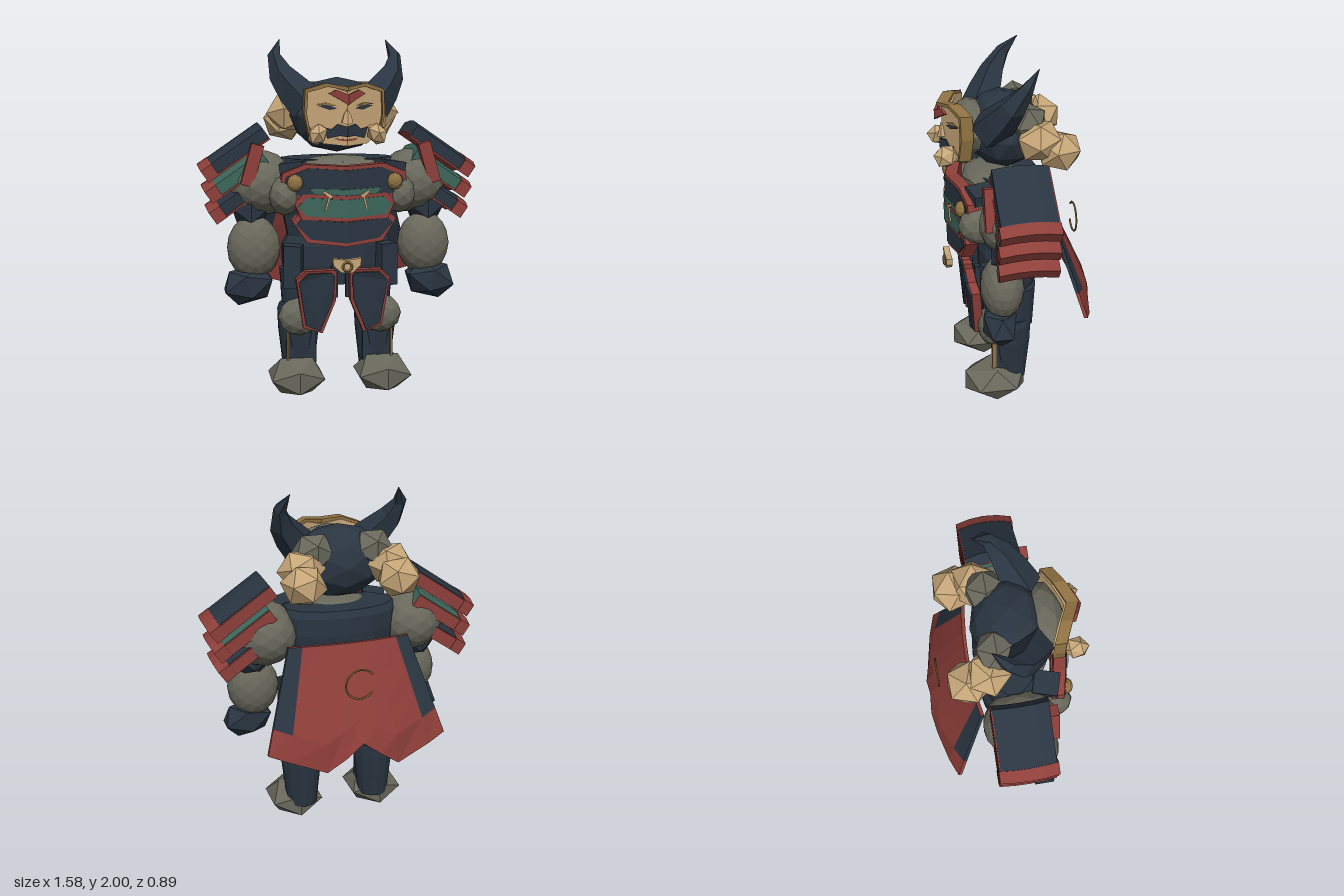
import * as THREE from 'three';

const mat = (name, color) => {
  const m = new THREE.MeshStandardMaterial({ color });
  m.name = name;
  return m;
};

export function createModel() {
  const root = new THREE.Group();
  const navy = mat('navy', 0x2a3541), red = mat('red', 0x8e3f3a), moss = mat('moss', 0x68685c);
  const teal = mat('teal', 0x3c665b), tan = mat('tan', 0xc6a678), gold = mat('gold', 0x8f7142);
  const capeRed = mat('capeRed', 0x8c3d38), capeNavy = mat('capeNavy', 0x2a3541);
  capeRed.side = capeNavy.side = THREE.DoubleSide;

  // Facet a geometry and add it as a named part
  const add = (name, geo, material, pos = [0, 0, 0], rot = [0, 0, 0], parent = root) => {
    const g = geo.index ? geo.toNonIndexed() : geo;
    g.computeVertexNormals();
    const m = new THREE.Mesh(g, material);
    m.name = name;
    m.position.set(...pos);
    m.rotation.set(...rot);
    parent.add(m);
    return m;
  };
  // Faceted ball with given half sizes
  const ball = (name, pos, r, material, detail = 1, rot) => {
    const k = detail ? 1 : 1 / 0.85;
    return add(name, new THREE.IcosahedronGeometry(1, detail).scale(r[0] * k, r[1] * k, r[2] * k), material, pos, rot);
  };
  const box = (name, size, material, pos, rot) => add(name, new THREE.BoxGeometry(...size), material, pos, rot);
  // Plate outlined on one side of the body, its depth following z = zAt(|x|, y)
  const plate = (name, pts, material, s, depth, zAt) => {
    const g = new THREE.ExtrudeGeometry(
      new THREE.Shape(pts.map(([x, y]) => new THREE.Vector2(x * s, y))), { depth, bevelEnabled: false });
    const p = g.attributes.position;
    for (let i = 0; i < p.count; i++) p.setZ(i, p.getZ(i) + zAt(Math.abs(p.getX(i)), p.getY(i)) - depth);
    return add(name, g, material);
  };
  // Grow an outline about its centre; points on the centre line stay there
  const grow = (pts, d) => {
    const cx = pts.reduce((a, p) => a + p[0], 0) / pts.length, cy = pts.reduce((a, p) => a + p[1], 0) / pts.length;
    return pts.map(([x, y]) => [x === 0 ? 0 : x + d * Math.sign(x - cx), y + d * Math.sign(y - cy)]);
  };
  const lathe = (pts, sides) => new THREE.LatheGeometry(pts.map(p => new THREE.Vector2(...p)), sides);

  // Torso with flared hem and collar
  const profile = [[0, .63], [.3, .63], [.32, .74], [.32, .85], [.29, .9], [.32, 1.05], [.35, 1.2], [.35, 1.3], [.32, 1.34], [0, 1.34]];
  add('torso', lathe(profile, 14).scale(1, 1, .52), navy, [0, 0, .02]);
  ball('neck', [0, 1.3, .1], [.24, .06, .17], moss);

  // Head and face core
  ball('helmet', [0, 1.58, .04], [.27, .21, .21], navy);
  ball('faceCore', [0, 1.6, .22], [.2, .15, .11], moss);

  const faceZ = x => .375 - .46 * x;
  const chestZ = x => .37 - .22 * x;
  const tassetZ = (x, y) => .3 - .2 * Math.abs(x - .15) - .1 * (.73 - y);
  const face = [[0, 1.72], [.1, 1.75], [.2, 1.72], [.21, 1.6], [.18, 1.49], [.12, 1.44], [0, 1.43]];
  const brow = [[0, 1.725], [.1, 1.745], [.2, 1.715], [.207, 1.6], [.185, 1.47], [.195, 1.47], [.222, 1.6], [.215, 1.73], [.11, 1.765], [0, 1.745]];
  const chest = [
    ['upperBreastplate', [[0, 1.3], [.2, 1.31], [.32, 1.26], [.34, 1.17], [.27, 1.17], [.2, 1.14], [0, 1.13]], navy, 0],
    ['middleBreastplate', [[0, 1.14], [.21, 1.15], [.26, 1.1], [.22, 1.05], [0, 1.04]], teal, .008],
    ['lowerBreastplate', [[0, 1.015], [.24, 1.03], [.27, 1.0], [.19, .92], [0, .9]], navy, -.005],
  ];
  const tasset = [[.065, .72], [.2, .72], [.25, .67], [.21, .42], [.13, .385], [.055, .57], [.05, .7]];

  for (const s of [-1, 1]) {
    // Horn: a bent, tapering five-sided tube
    const pts = [[.17, 1.63, .14], [.26, 1.73, .08], [.345, 1.87, 0], [.305, 2, -.1]];
    const curve = new THREE.CatmullRomCurve3(pts.map(([x, y, z]) => new THREE.Vector3(x * s, y, z)));
    const horn = new THREE.TubeGeometry(curve, 4, 1, 5);
    const hp = horn.attributes.position, v = new THREE.Vector3();
    for (let i = 0; i < hp.count; i++) {
      const t = Math.floor(i / 6) / 4, c = curve.getPointAt(t);
      v.fromBufferAttribute(hp, i).sub(c).multiplyScalar(.112 * (1 - t ** 1.4) + .001).add(c);
      hp.setXYZ(i, v.x, v.y, v.z);
    }
    add('horn', horn, navy);

    // Bunched hair behind the ears
    ball('hairRoot', [.17 * s, 1.66, -.06], [.105, .1, .1], moss, 0);
    ball('hairMiddle', [.25 * s, 1.585, -.11], [.12, .1, .11], tan, 0, [.3, .4 * s, 0]);
    ball('hairEnd', [.27 * s, 1.53, -.22], [.11, .1, .11], tan, 0, [0, .3 * s, .2 * s]);

    // Mask
    plate('mask', face, tan, s, .05, faceZ);
    plate('maskRim', brow, gold, s, .065, x => faceZ(x) + .025);
    plate('foreheadMark', [[0, 1.65], [.03, 1.67], [.1, 1.71], [.06, 1.73], [0, 1.705]], red, s, .015, x => faceZ(x) + .04);
    plate('eye', [[.05, 1.63], [.09, 1.622], [.15, 1.643], [.1, 1.65]], navy, s, .008, x => faceZ(x) + .006);
    plate('eyebrow', [[.05, 1.645], [.1, 1.662], [.16, 1.652], [.1, 1.647]], gold, s, .009, x => faceZ(x) + .008);
    plate('nose', [[0, 1.63], [.018, 1.6], [.03, 1.555], [0, 1.545]], tan, s, .03, (x, y) => faceZ(x) + .025 * (1.65 - y) / .1);
    plate('moustache', [[0, 1.535], [.05, 1.548], [.08, 1.52], [.12, 1.53], [.1, 1.47], [.04, 1.485], [0, 1.48]], navy, s, .009, x => faceZ(x) + .014);
    plate('mouth', [[0, 1.466], [.06, 1.47], [.045, 1.46], [0, 1.457]], red, s, .008, x => faceZ(x) + .006);
    ball('cheek', [.16 * s, 1.495, .375], [.045, .055, .06], tan, 0, [.3, .3 * s, .5 * s]);

    // Layered breastplate with red borders
    for (const [name, outline, material, dz] of chest) {
      plate(name + 'Border', grow(outline, .02), red, s, .07, x => chestZ(x) + dz - .006);
      plate(name, outline, material, s, .05, x => chestZ(x) + dz);
    }
    plate('chestBand', [[0, 1.165], [.17, 1.17], [.2, 1.2], [0, 1.195]], teal, s, .008, x => chestZ(x) + .006);
    plate('chestCord', [[.07, 1.16], [.12, 1.19], [.13, 1.18], [.1, 1.155], [.12, 1.08], [.11, 1.08], [.09, 1.15]], tan, s, .009, x => chestZ(x) + .016);
    ball('chestBoss', [.275 * s, 1.23, .315], [.044, .047, .035], gold);
    box('chestStrap', [.13, .06, .14], navy, [.27 * s, 1.305, .2], [0, .3 * s, -.15 * s]);

    // Arm
    ball('chestShoulder', [.32 * s, 1.15, .22], [.09, .11, .12], moss);
    ball('shoulder', [.435 * s, 1.2, .035], [.19, .185, .21], moss, 2);
    ball('upperArm', [.5 * s, 1.07, .08], [.1, .12, .11], navy, 0);
    ball('forearm', [.485 * s, .85, .13], [.15, .18, .12], moss, 2);
    ball('hand', [.52 * s, .645, .15], [.135, .1, .09], navy, 0, [0, 0, -.25 * s]);

    // Three overlapping arched shoulder guards, red underneath and behind
    [[.598, 1.395, .41, navy], [.59, 1.27, .38, teal], [.57, 1.155, .38, navy]].forEach(([x, y, len, material]) => {
      const guard = new THREE.Group();
      guard.name = 'shoulderGuard';
      guard.position.set(x * s, y, .025);
      guard.rotation.z = -.6 * s;
      root.add(guard);
      const arched = (name, w, h, d, m, cx, cy, cz = 0) => {
        const g = new THREE.BoxGeometry(w, h, d, 1, 1, 4).translate(0, 0, cz);
        const p = g.attributes.position;
        for (let i = 0; i < p.count; i++) p.setY(i, p.getY(i) - 1.1 * p.getZ(i) ** 2);
        add(name, g, m, [cx * s, cy, 0], [0, 0, 0], guard);
      };
      arched('guardPlate', len - .07, .07, .3, material, -.035, 0);
      arched('guardEdge', .07, .075, .32, red, len / 2 - .035, 0);
      arched('guardLining', len - .02, .01, .31, red, -.01, -.034);
      arched('guardRearRail', len - .07, .066, .01, red, -.035, -.001, -.152);
    });
    box('shoulderStrap', [.07, .23, .05], red, [.495 * s, 1.32, .2], [0, 0, .28 * s]);

    // Hip armour
    plate('tassetBorder', grow(tasset, .014), red, s, .05, (x, y) => tassetZ(x, y) - .008);
    plate('tasset', tasset, navy, s, .03, tassetZ);
    box('hipPlate', [.1, .24, .12], navy, [.26 * s, .74, .14], [0, .3 * s, 0]);
    box('loinStrip', [.035, .18, .03], navy, [.04 * s, .655, .2]);

    // Leg: thigh and flared boot shaft
    add('thigh', new THREE.CylinderGeometry(.12, .105, .25, 14), navy, [.21 * s, .58, .01]);
    add('bootShaft', lathe([[0, .1], [.09, .1], [.1, .2], [.118, .36], [.122, .47], [.11, .505], [0, .505]], 14), navy, [.225 * s, 0, .04]);
    ball('knee', [.235 * s, .45, .155], [.12, .11, .075], moss);
    box('shinGuard', [.17, .2, .05], navy, [.22 * s, .27, .11]);
    box('shinTrim', [.012, .17, .025], gold, [.3 * s, .28, .145]);
    ball('foot', [.25 * s, .1, .135], [.15, .1, .175], moss, 0);
  }

  // Belt buckle
  const buckle = new THREE.Shape([[-.08, .82], [-.075, .78], [-.03, .74], [.03, .74], [.075, .78], [.08, .82], [0, .81]].map(p => new THREE.Vector2(...p)));
  add('buckle', new THREE.ExtrudeGeometry(buckle, { depth: .035, bevelEnabled: false }), tan, [0, 0, .345]);
  add('buckleRing', new THREE.TorusGeometry(.025, .007, 4, 12), gold, [0, .775, .385]);

  // Cape: a flared curved sheet with a notched lower edge and dark side bands
  const us = [-1, -.78, -.4, -.2, 0, .2, .4, .78, 1], vs = [0, .25, .5, .75, 1];
  const drop = u => { const a = Math.abs(u); return a < .4 ? .51 + .375 * a : .66 - .18 * (a - .4); };
  const capePoint = (u, v, back) => {
    const f = v * drop(u) / .55, k = Math.min(f, 1);
    return [u * (.35 + .17 * k), 1.17 - v * drop(u), -.205 - .25 * k + u * u * (.03 + .08 * k) + .03 * Math.max(0, f - 1) + back];
  };
  const sheets = { red: [], navy: [] };
  const quad = (list, a, b, c, d) => list.push(...a, ...b, ...c, ...a, ...c, ...d);
  for (let i = 0; i < us.length - 1; i++) for (let j = 0; j < vs.length - 1; j++) {
    const side = (i === 0 || i === us.length - 2) && j < 3;
    const corners = b => [[i, j], [i + 1, j], [i + 1, j + 1], [i, j + 1]].map(([p, q]) => capePoint(us[p], vs[q], b));
    const list = side ? sheets.navy : sheets.red;
    quad(list, ...corners(0));
    quad(list, ...corners(.02).reverse());
  }
  // Close the cape's outer edges
  for (let i = 0; i < us.length - 1; i++) for (const v of [0, 1])
    quad(sheets.red, capePoint(us[i], v, 0), capePoint(us[i + 1], v, 0), capePoint(us[i + 1], v, .02), capePoint(us[i], v, .02));
  for (let j = 0; j < vs.length - 1; j++) for (const u of [-1, 1])
    quad(j < 3 ? sheets.navy : sheets.red, capePoint(u, vs[j], 0), capePoint(u, vs[j + 1], 0), capePoint(u, vs[j + 1], .02), capePoint(u, vs[j], .02));
  for (const [name, list, m] of [['cape', sheets.red, capeRed], ['capeBands', sheets.navy, capeNavy]])
    add(name, new THREE.BufferGeometry().setAttribute('position', new THREE.Float32BufferAttribute(list, 3)), m);

  // Open ring behind the cape
  add('capeRing', new THREE.TorusGeometry(.085, .006, 5, 20, 5), gold, [0, .99, -.375], [0, 0, Math.PI + .64]);

  return root;
}
